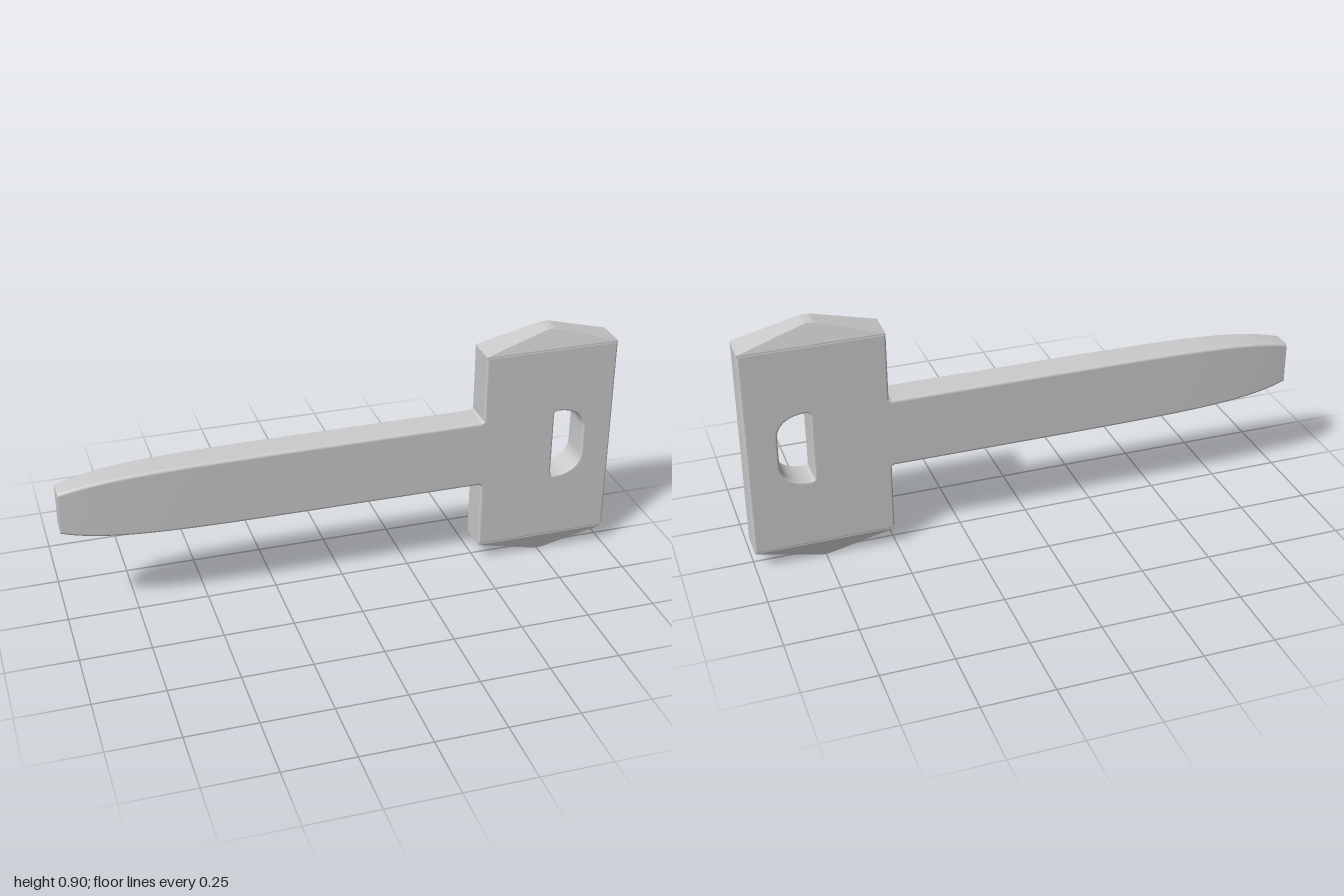
import * as THREE from 'three';
import { toCreasedNormals } from 'three/addons/utils/BufferGeometryUtils.js';
import { ConvexGeometry } from 'three/addons/geometries/ConvexGeometry.js';

const MID = 0.4485; // height of the long axis
const HALF_Z = 0.0585; // half the thickness
const X0 = 0.505, X1 = 1; // sides of the head

// Rounded-rectangle cross-section as [y, z] pairs
function section(h, d, r) {
  const ring = [];
  const steps = 5;
  [[1, 1], [-1, 1], [-1, -1], [1, -1]].forEach(([sy, sz], corner) => {
    for (let i = 0; i <= steps; i++) {
      const a = (corner + i / steps) * Math.PI / 2;
      ring.push([sy * (h - r) + r * Math.cos(a), sz * (d - r) + r * Math.sin(a)]);
    }
  });
  return ring;
}

// Long bar that tapers in an exponential curve towards a blunt tip
function shankGeometry() {
  const rows = [];
  for (let i = 0; i <= 36; i++) {
    const t = 1.495 * Math.pow(i / 36, 1.8);
    const f = 1 - Math.exp(-t / 0.17);
    rows.push([t - 1, 0.0775 + 0.0495 * f, 0.04 + 0.0185 * f]);
  }
  // small fillet where the bar meets the head
  rows.push([0.5, 0.129, HALF_Z], [0.504, 0.133, HALF_Z], [0.515, 0.138, HALF_Z]);

  const pos = [], index = [];
  let n = 0;
  rows.forEach(([x, h, d]) => {
    const ring = section(h, d, 0.011);
    n = ring.length;
    ring.forEach(([y, z]) => pos.push(x, MID + y, z));
  });
  for (let i = 0; i < rows.length - 1; i++) {
    for (let j = 0; j < n; j++) {
      const a = i * n + j, b = i * n + (j + 1) % n;
      index.push(a, b, a + n, b, b + n, a + n);
    }
  }
  // flat tip with its own vertices, so its edge stays sharp
  const tip = pos.length / 3;
  pos.push(...pos.slice(0, n * 3), -1, MID, 0);
  for (let j = 0; j < n; j++) index.push(tip + n, tip + (j + 1) % n, tip + j);

  const g = new THREE.BufferGeometry();
  g.setAttribute('position', new THREE.Float32BufferAttribute(pos, 3));
  g.setIndex(index);
  g.computeVertexNormals();
  return g;
}

// Rectangular plate with softened edges and a D-shaped slot
function headGeometry() {
  const bottom = 0.068, top = 2 * MID - bottom;
  const shape = new THREE.Shape([
    new THREE.Vector2(X0, bottom), new THREE.Vector2(X1, bottom),
    new THREE.Vector2(X1, top), new THREE.Vector2(X0, top),
  ]);
  const l = 0.775, r = 0.89, lo = MID - 0.131, hi = MID + 0.131, c = 0.014;
  const slot = new THREE.Path();
  slot.moveTo(l, lo + c);
  slot.lineTo(l, hi - c);
  slot.quadraticCurveTo(l, hi, l + c, hi);
  slot.bezierCurveTo(0.85, hi, r, hi - 0.03, r, MID + 0.05);
  slot.lineTo(r, MID - 0.05);
  slot.bezierCurveTo(r, lo + 0.03, 0.85, lo, l + c, lo);
  slot.quadraticCurveTo(l, lo, l, lo + c);
  shape.holes.push(slot);

  const bevel = 0.008;
  const depth = 2 * (HALF_Z - bevel);
  const g = new THREE.ExtrudeGeometry(shape, {
    depth, curveSegments: 20, bevelEnabled: true, bevelThickness: bevel,
    bevelSize: bevel, bevelOffset: -bevel, bevelSegments: 4,
  });
  g.translate(0, 0, -depth / 2);
  return toCreasedNormals(g, 0.15);
}

// Low wedge that narrows to a short flat crest; side is 1 on top, -1 below
function capGeometry(side) {
  const points = [];
  const profile = [
    [X0 + 0.002, 0.37, 0.0575], [X1 - 0.002, 0.37, 0.0575],
    [X0 + 0.001, 0.381, 0.0575], [X1 - 0.001, 0.381, 0.0575],
    [0.727, 0.4455, 0.036], [0.778, 0.4455, 0.036],
    [0.74, MID, 0.035], [0.765, MID, 0.035],
  ];
  profile.forEach(([x, y, z]) => [-1, 1].forEach((s) =>
    points.push(new THREE.Vector3(x, MID + side * y, s * z))));
  return new ConvexGeometry(points);
}

export function createModel() {
  const group = new THREE.Group();
  group.name = 'slottedHammerKey';
  const material = new THREE.MeshStandardMaterial({ color: 0xcccccc });
  const add = (name, geometry) => {
    const mesh = new THREE.Mesh(geometry, material);
    mesh.name = name;
    group.add(mesh);
  };
  add('shank', shankGeometry());
  add('head', headGeometry());
  add('topCap', capGeometry(1));
  add('bottomCap', capGeometry(-1));
  return group;
}
